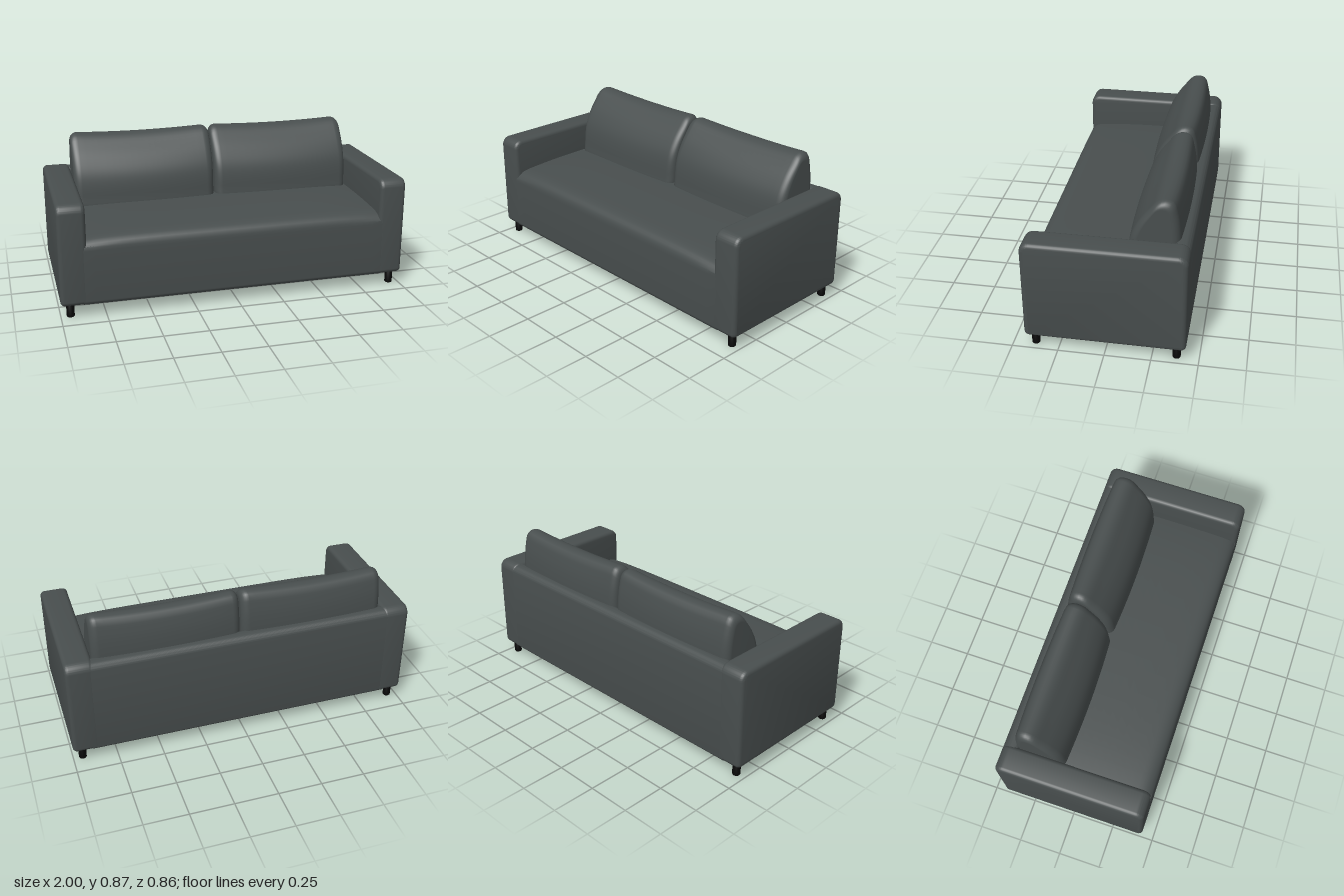
import * as THREE from 'three';
import { toCreasedNormals } from 'three/addons/utils/BufferGeometryUtils.js';

// Side outline in (z, y) with its own radius at each corner
function sideShape(z0, z1, y0, y1, rBack, rFront, rBottom) {
  const s = new THREE.Shape();
  s.moveTo(z0 + rBottom, y0);
  s.lineTo(z1 - rBottom, y0);
  s.absarc(z1 - rBottom, y0 + rBottom, rBottom, -Math.PI / 2, 0);
  s.absarc(z1 - rFront, y1 - rFront, rFront, 0, Math.PI / 2);
  s.absarc(z0 + rBack, y1 - rBack, rBack, Math.PI / 2, Math.PI);
  s.absarc(z0 + rBottom, y0 + rBottom, rBottom, Math.PI, Math.PI * 1.5);
  return s;
}

// Extrude a side outline across x, centred on x = 0
function across(shape, width, bevel, steps = 1) {
  const g = new THREE.ExtrudeGeometry(shape, {
    depth: width - 2 * bevel, steps, curveSegments: 8,
    bevelEnabled: bevel > 0, bevelSize: bevel, bevelThickness: bevel,
    bevelOffset: -bevel, bevelSegments: 5,
  });
  g.translate(0, 0, -(width - 2 * bevel) / 2);
  g.rotateY(-Math.PI / 2);
  return g;
}

// Plump back cushion: a closed side profile lofted along x with rounded ends
function cushionGeometry(x0, x1) {
  const profile = new THREE.CatmullRomCurve3([
    [-0.085, 0.43], [-0.08, 0.52], [-0.1, 0.645], [-0.145, 0.735], [-0.2, 0.805],
    [-0.25, 0.857], [-0.295, 0.87], [-0.34, 0.855], [-0.364, 0.79], [-0.38, 0.70],
    [-0.385, 0.58], [-0.37, 0.43],
  ].map(([z, y]) => new THREE.Vector3(0, y, z)), true).getSpacedPoints(64).slice(0, 64);
  const mid = (x0 + x1) / 2, half = (x1 - x0) / 2, r = 0.045;

  // Rings along x: [offset from middle, inset of the outline]
  const rings = [];
  for (let i = 0; i <= 8; i++) {
    const a = (i / 8) * Math.PI / 2;
    rings.push([-half + r * (1 - Math.cos(a)), r * (1 - Math.sin(a))]);
  }
  for (let i = 1; i < 20; i++) rings.push([(half - r) * (i / 10 - 1), 0]);
  for (let i = 8; i >= 0; i--) rings.push([-rings[i][0], rings[i][1]]);
  rings.unshift([-half, 1]);
  rings.push([half, 1]);

  const pos = [], index = [], n = profile.length, cz = -0.24, cy = 0.65;
  for (const [dx, inset] of rings) {
    const s = dx / half;
    // an inset of 1 closes the end to a point
    const kz = inset === 1 ? 0 : (1 - inset / 0.15) * (1 - 0.1 * s * s);
    const ky = inset === 1 ? 0 : 1 - inset / 0.22;
    for (const p of profile) {
      const sag = 0.014 * (1 - s * s) * Math.max(0, (p.y - 0.5) / 0.37);
      pos.push(mid + dx, cy + (p.y - cy - sag) * ky, cz + (p.z - cz) * kz);
    }
  }
  for (let i = 0; i < rings.length - 1; i++) {
    for (let j = 0; j < n; j++) {
      const a = i * n + j, b = i * n + (j + 1) % n, c = a + n, d = b + n;
      index.push(a, c, b, b, c, d);
    }
  }
  const g = new THREE.BufferGeometry();
  g.setAttribute('position', new THREE.Float32BufferAttribute(pos, 3));
  g.setIndex(index);
  g.computeVertexNormals();
  return g;
}

export function createModel() {
  const sofa = new THREE.Group();
  sofa.name = 'sofa';
  const fabric = new THREE.MeshStandardMaterial({ color: 0x484e4e });
  fabric.name = 'charcoal fabric';
  const black = new THREE.MeshStandardMaterial({ color: 0x070707 });
  black.name = 'black leg';

  const add = (name, geometry, material, x = 0, y = 0, z = 0) => {
    const m = new THREE.Mesh(geometry, material);
    m.name = name;
    m.position.set(x, y, z);
    sofa.add(m);
  };

  // Arms: full-depth slabs with softened edges
  const arm = toCreasedNormals(
    across(sideShape(-0.432, 0.432, 0.075, 0.652, 0.052, 0.052, 0.028), 0.155, 0.024), 0.6);
  add('leftArm', arm, fabric, 0.9225);
  add('rightArm', arm, fabric, -0.9225);

  // Back panel running between the arms
  add('backPanel', toCreasedNormals(
    across(sideShape(-0.4315, -0.34, 0.075, 0.645, 0.045, 0.03, 0.02), 1.78, 0), 0.6), fabric);

  // Seat base with a rounded front edge and a gentle crown
  const seatShape = new THREE.Shape();
  seatShape.moveTo(-0.4, 0.073);
  seatShape.lineTo(0.408, 0.073);
  seatShape.quadraticCurveTo(0.43, 0.075, 0.4315, 0.1);
  seatShape.lineTo(0.4315, 0.39);
  seatShape.bezierCurveTo(0.4315, 0.445, 0.40, 0.46, 0.34, 0.466);
  seatShape.quadraticCurveTo(0.12, 0.482, -0.1, 0.48);
  seatShape.lineTo(-0.4, 0.48);
  const seat = across(seatShape, 1.75, 0, 24);
  const p = seat.attributes.position;
  for (let i = 0; i < p.count; i++) {
    const edge = Math.pow(Math.abs(p.getX(i)) / 0.85, 6);
    if (p.getY(i) > 0.42) p.setY(i, p.getY(i) - 0.012 * edge);
  }
  add('seat', toCreasedNormals(seat, 0.7), fabric);

  // Two back cushions
  add('leftCushion', cushionGeometry(0.004, 0.842), fabric);
  add('rightCushion', cushionGeometry(-0.842, -0.004), fabric);

  // Four round legs with a small chamfer at the foot
  const leg = new THREE.LatheGeometry([
    [0, 0], [0.019, 0], [0.022, 0.004], [0.023, 0.09], [0, 0.09],
  ].map(([x, y]) => new THREE.Vector2(x, y)), 20);
  for (const x of [-1, 1]) for (const z of [-1, 1]) {
    add(`${z > 0 ? 'front' : 'back'}${x > 0 ? 'Left' : 'Right'}Leg`, leg, black, x * 0.946, 0, z * 0.38);
  }
  return sofa;
}
